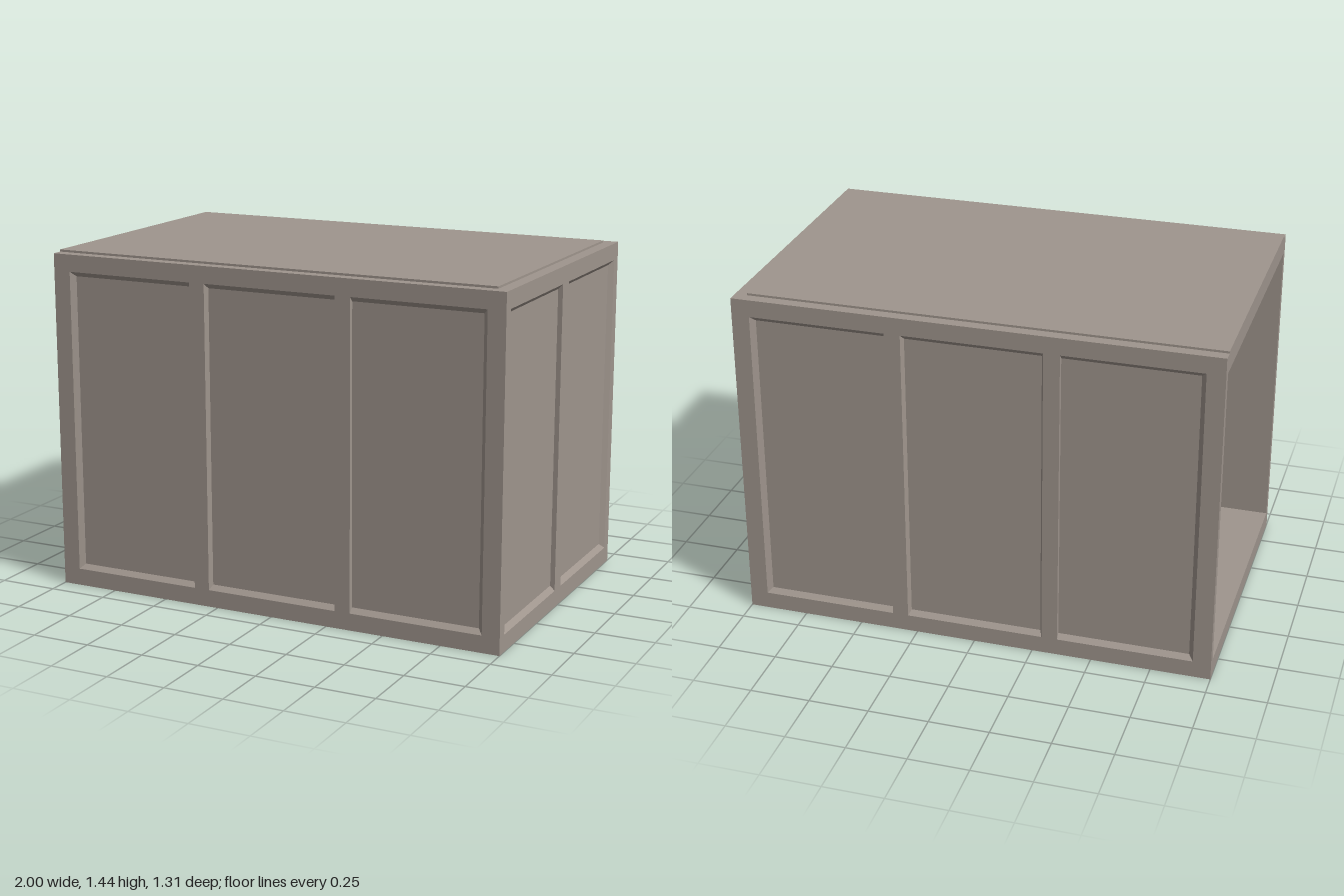
import * as THREE from 'three';
import { mergeGeometries } from 'three/addons/utils/BufferGeometryUtils.js';

const W = 2, H = 1.43, D = 1.308;   // outer size of the shell
const RECESS = 0.02, BEVEL = 0.02;  // depth and slope width of the sunken panels
const Y0 = 0.072, Y1 = 1.358;       // panel bottom and top

function rectPoints(x0, y0, x1, y1) {
  return [[x0, y0], [x1, y0], [x1, y1], [x0, y1]].map(p => new THREE.Vector2(...p));
}

// Rectangular sheet in the xy plane with rectangular openings
function sheet(outer, holes) {
  const shape = new THREE.Shape(rectPoints(...outer));
  holes.forEach(h => shape.holes.push(new THREE.Path(rectPoints(...h).reverse())));
  const g = new THREE.ShapeGeometry(shape).toNonIndexed();
  g.deleteAttribute('uv');
  return g;
}

// Sunken panel: four sloping sides; left and right slopes have their own widths
function sunkenPanel([x0, x1, left, right]) {
  const o = rectPoints(x0, Y0, x1, Y1);
  const i = rectPoints(x0 + left, Y0 + BEVEL, x1 - right, Y1 - BEVEL);
  const pos = [];
  const quad = (...c) => [0, 1, 2, 0, 2, 3].forEach(k => pos.push(...c[k]));
  const out = o.map(p => [p.x, p.y, 0]), inn = i.map(p => [p.x, p.y, -RECESS]);
  for (let k = 0; k < 4; k++) {
    const n = (k + 1) % 4;
    quad(out[k], out[n], inn[n], inn[k]);
  }
  quad(...inn);
  const g = new THREE.BufferGeometry();
  g.setAttribute('position', new THREE.Float32BufferAttribute(pos, 3));
  g.computeVertexNormals();
  return g;
}

function panelledWall(width, panels) {
  const frame = sheet([-width / 2, 0, width / 2, H], panels.map(p => [p[0], Y0, p[1], Y1]));
  return mergeGeometries([frame, ...panels.map(sunkenPanel)]);
}

export function createModel() {
  const model = new THREE.Group();
  model.name = 'openPanelledBox';
  const paint = new THREE.MeshStandardMaterial({ color: 0x9f958d });
  paint.name = 'warm grey';

  const add = (name, geometry) => {
    const mesh = new THREE.Mesh(geometry, paint);
    mesh.name = name;
    model.add(mesh);
    return mesh;
  };

  // Long walls, three panels each
  const longPanels = [
    [-0.925, -0.357, BEVEL, 0],
    [-0.29, 0.29, 0.01, 0.01],
    [0.357, 0.925, 0, BEVEL],
  ];
  for (const side of [1, -1]) {
    const wall = add(side > 0 ? 'frontWall' : 'backWall', panelledWall(W, longPanels));
    wall.position.z = side * D / 2;
    wall.rotation.y = side > 0 ? 0 : Math.PI;
  }

  // Closed end, two panels
  const end = add('endWall', panelledWall(D, [
    [-0.607, -0.036, BEVEL, 0],
    [0.036, 0.607, 0, BEVEL],
  ]));
  end.position.x = W / 2;
  end.rotation.y = Math.PI / 2;

  // Rim around the open end
  const rim = add('openingRim', sheet([-D / 2, 0, D / 2, H], [[-0.62, 0.076, 0.62, 1.354]]));
  rim.position.x = -W / 2;
  rim.rotation.y = -Math.PI / 2;

  // Hollow interior: an inward-facing box without its open end
  const cavity = new THREE.BoxGeometry(1.965, 1.278, 1.24);
  const index = [...cavity.index.array];
  index.splice(6, 6);
  cavity.setIndex(index.reverse());
  cavity.clearGroups();
  const inside = cavity.toNonIndexed();
  inside.computeVertexNormals();
  add('interior', inside).position.set(-0.0175, 0.715, 0);

  // Underside, roof and the raised roof sheet
  add('underside', new THREE.PlaneGeometry(W, D).rotateX(Math.PI / 2));
  add('roof', new THREE.PlaneGeometry(W, D).rotateX(-Math.PI / 2)).position.y = H;
  add('roofSheet', new THREE.BoxGeometry(1.948, 0.009, 1.214)).position.set(-0.026, H + 0.0045, 0);

  return model;
}
